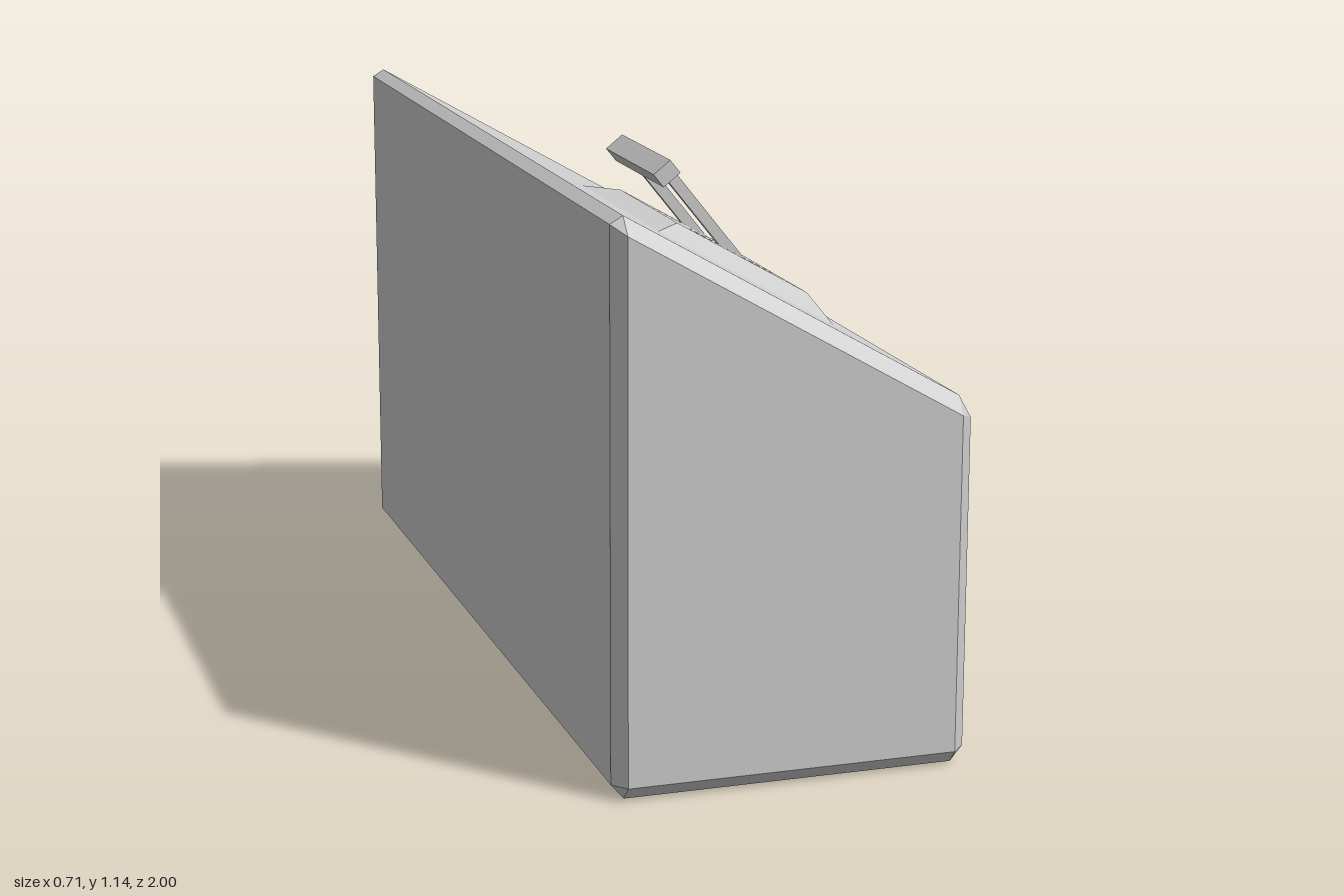
import * as THREE from 'three';
import { ConvexGeometry } from 'three/addons/geometries/ConvexGeometry.js';

export function createModel() {
  const root = new THREE.Group();
  root.name = 'leverConsole';
  const grey = new THREE.MeshStandardMaterial({ color: 0xcccccc, flatShading: true });
  grey.name = 'plain grey';

  const add = (parent, name, geometry) => {
    const mesh = new THREE.Mesh(geometry, grey);
    mesh.name = name;
    parent.add(mesh);
    return mesh;
  };

  // Wedge-shaped cabinet: full outline, closed by a smaller chamfered face at each end
  const outline = [[-0.33, 0], [0.33, 0], [0.355, 0.03], [0.355, 0.685],
    [0.33, 0.73], [-0.33, 1.11], [-0.355, 1.095], [-0.355, 0.03]];
  const endFace = [[-0.33, 0.03], [0.327, 0.03], [0.327, 0.697], [-0.33, 1.077]];
  const points = [];
  for (const side of [-1, 1]) {
    for (const [x, y] of outline) points.push(new THREE.Vector3(x, y, side * 0.97));
    for (const [x, y] of endFace) points.push(new THREE.Vector3(x, y, side));
  }
  add(root, 'cabinet', new ConvexGeometry(points));

  // Raised panel, lying on the sloping top
  const panel = new THREE.Group();
  panel.name = 'leverPanel';
  panel.position.set(0, 0.92, 0.455);
  panel.rotation.z = -Math.atan2(0.38, 0.66);
  root.add(panel);

  // Bevelled skirt between the panel's foot and its top
  const foot = [[-0.208, 0.255], [0.202, 0.255], [0.202, -0.255], [-0.208, -0.255]];
  const rim = [[-0.156, 0.185], [0.151, 0.185], [0.151, -0.185], [-0.156, -0.185]];
  const verts = [], index = [];
  for (let i = 0; i < 4; i++) {
    const j = (i + 1) % 4, n = i * 4;
    verts.push(foot[i][0], 0, foot[i][1], foot[j][0], 0, foot[j][1],
      rim[j][0], 0.03, rim[j][1], rim[i][0], 0.03, rim[i][1]);
    index.push(n, n + 1, n + 2, n, n + 2, n + 3);
  }
  const skirt = new THREE.BufferGeometry();
  skirt.setAttribute('position', new THREE.Float32BufferAttribute(verts, 3));
  skirt.setIndex(index);
  skirt.computeVertexNormals();
  add(panel, 'panelBevel', skirt);

  // Panel top with two slots for the lever arms
  const top = new THREE.Shape(rim.map(([x, z]) => new THREE.Vector2(x, -z)).reverse());
  for (const z of [-0.115, 0.115]) {
    top.holes.push(new THREE.Path([[-0.1, -0.011], [-0.1, 0.011], [0.097, 0.011], [0.097, -0.011]]
      .map(([x, y]) => new THREE.Vector2(x, y - z))));
  }
  const slab = new THREE.ExtrudeGeometry(top, { depth: 0.03, bevelEnabled: false });
  slab.rotateX(-Math.PI / 2);
  add(panel, 'slottedPanelTop', slab);

  // Lever: local y runs along the arms, up to the grip bar
  const lever = new THREE.Group();
  lever.name = 'lever';
  lever.position.set(-0.132, 1.115, 0.455);
  lever.rotation.z = Math.atan2(36, 45);
  root.add(lever);
  add(lever, 'gripBar', new THREE.BoxGeometry(0.043, 0.033, 0.315));
  for (const z of [-0.115, 0.115]) {
    add(lever, 'leverArm', new THREE.BoxGeometry(0.022, 0.225, 0.016)).position.set(0.008, -0.128, z);
  }
  return root;
}
